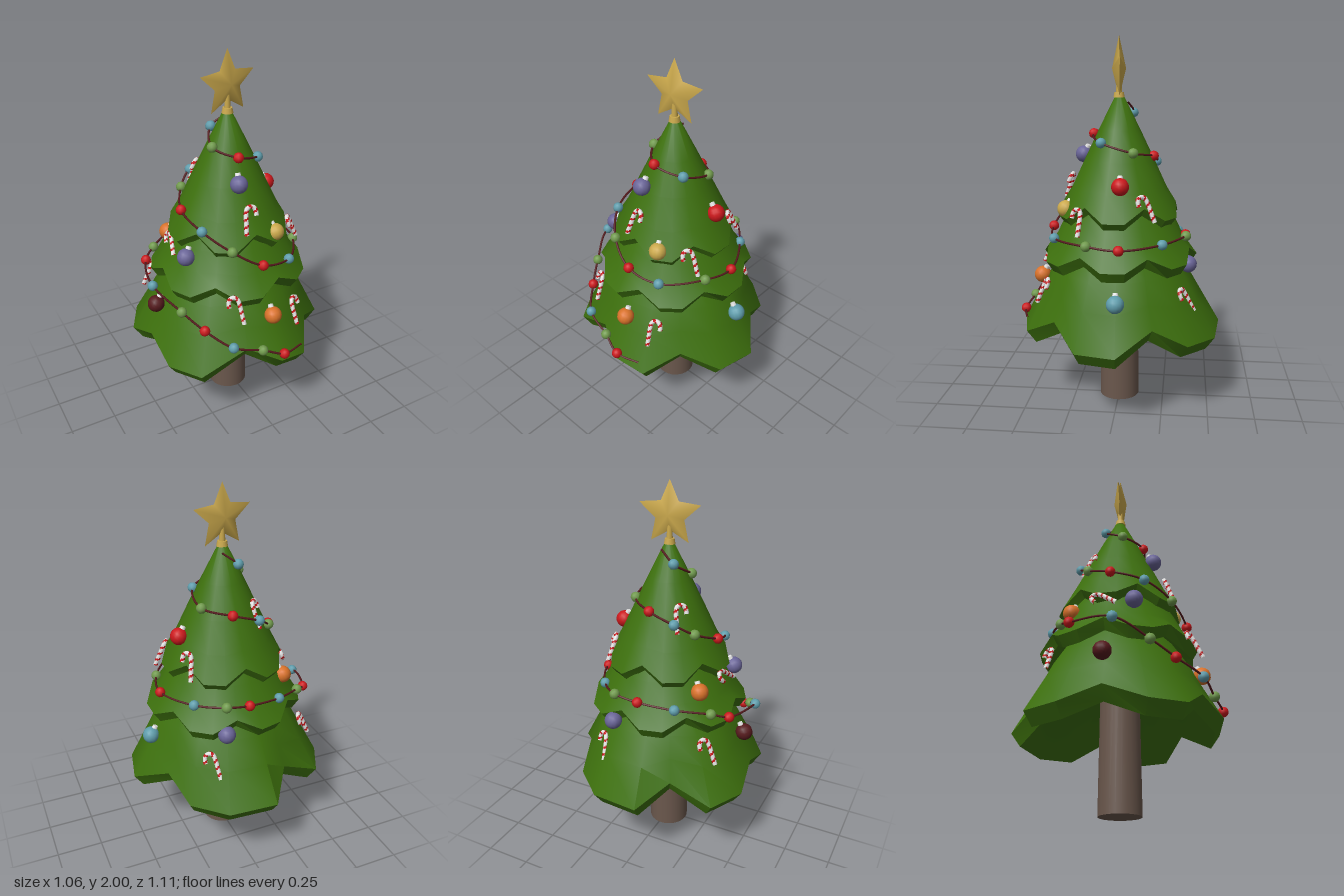
import * as THREE from 'three';
import { toCreasedNormals } from 'three/addons/utils/BufferGeometryUtils.js';

const mat = (name, color) => Object.assign(new THREE.MeshStandardMaterial({ color }), { name });
const M = {
  green: mat('needle green', 0x3d700d), brown: mat('bark brown', 0x6a574c),
  gold: mat('gold', 0xcba94c), red: mat('red', 0xcc181c), blue: mat('light blue', 0x5f9dac),
  lime: mat('soft green', 0x709a4c), purple: mat('purple', 0x6a6598),
  orange: mat('orange', 0xd9722a), maroon: mat('maroon', 0x561a1d), white: mat('white', 0xe8e8e8),
};
const CX = -0.012; // trunk axis

function add(parent, name, geometry, material, x = 0, y = 0, z = 0) {
  const m = new THREE.Mesh(geometry, material);
  m.name = name;
  m.position.set(x, y, z);
  parent.add(m);
  return m;
}

// Regular scalloped hem: each lobe has one notch and two tips, as [degrees, radius, y]
function scallops(n, firstNotch, rTip, rNotch, yTip, yNotch) {
  const hem = [];
  for (let i = 0; i < n; i++) {
    const a = firstNotch + (i * 360) / n, s = 360 / n;
    hem.push([a, rNotch, yNotch], [a + s * 0.34, rTip, yTip], [a + s * 0.66, rTip, yTip]);
  }
  return hem;
}

// One tier: rows [radius, y, lobe share] down to the hem, a thick rim, then the hollow underside
function tierGeometry(rows, hem, rim, drop) {
  const mean = hem.reduce((s, h) => s + h[1], 0) / hem.length;
  const meanY = hem.reduce((s, h) => s + h[2], 0) / hem.length;
  const pos = [], index = [], n = hem.length;
  const ring = (fn) => hem.forEach((h) => {
    const [r, y] = fn(h), a = THREE.MathUtils.degToRad(h[0]);
    pos.push(CX + r * Math.cos(a), y, r * Math.sin(a));
  });
  rows.forEach(([r, y, k]) => ring((h) => [r * (1 + k * (h[1] / mean - 1)), y + k * 0.5 * (h[2] - meanY)]));
  ring((h) => [h[1], h[2]]);
  ring((h) => [h[1] - rim, h[2] - drop]);
  ring((h) => [h[1] * 0.62, h[2] + drop * 1.1]);
  ring(() => [0.09, meanY + drop * 3]);
  const count = pos.length / 3 / n;
  for (let i = 0; i < count - 1; i++) for (let j = 0; j < n; j++) {
    const a = i * n + j, b = i * n + (j + 1) % n;
    index.push(a, b, a + n, b, b + n, a + n);
  }
  const g = new THREE.BufferGeometry();
  g.setAttribute('position', new THREE.Float32BufferAttribute(pos, 3));
  g.setIndex(index);
  return toCreasedNormals(g, 0.7);
}

// Five-pointed star: two softly domed faces meeting in a sharp edge
function starGeometry(outer, inner, depth) {
  const pos = [], index = [];
  [1, -1].forEach((side) => {
    const c = pos.length / 3;
    pos.push(0, 0, side * depth);
    for (let i = 0; i < 10; i++) {
      const a = Math.PI / 2 + (side * i * Math.PI) / 5, r = i % 2 ? inner : outer;
      pos.push(r * Math.cos(a), r * Math.sin(a), 0);
      index.push(c, c + 1 + i, c + 1 + (i + 1) % 10);
    }
  });
  const g = new THREE.BufferGeometry();
  g.setAttribute('position', new THREE.Float32BufferAttribute(pos, 3));
  g.setIndex(index);
  g.computeVertexNormals();
  return g;
}

// Hooked cane with spiral stripes in two material groups
function caneGeometry() {
  const pts = [[0, -0.08], [0, -0.03], [0, 0.025]];
  for (let i = 1; i <= 5; i++) {
    const a = Math.PI - (i * Math.PI) / 5;
    pts.push([0.027 + 0.027 * Math.cos(a), 0.035 + 0.032 * Math.sin(a)]);
  }
  pts.push([0.055, 0.02]);
  const curve = new THREE.CatmullRomCurve3(pts.map(([x, y]) => new THREE.Vector3(x - 0.015, y, 0)));
  const segs = 36, sides = 6;
  const g = new THREE.TubeGeometry(curve, segs, 0.0125, sides);
  const src = g.index.array, sorted = [[], []];
  for (let j = 0; j < segs; j++) for (let i = 0; i < sides; i++) {
    const q = (j * sides + i) * 6;
    sorted[(i + j) % 6 < 2 ? 1 : 0].push(...src.slice(q, q + 6));
  }
  g.setIndex([...sorted[0], ...sorted[1]]);
  g.addGroup(0, sorted[0].length, 0);
  g.addGroup(sorted[0].length, sorted[1].length, 1);
  return g;
}

export function createModel() {
  const tree = new THREE.Group();
  tree.name = 'decoratedTree';

  add(tree, 'trunk', new THREE.CylinderGeometry(0.1, 0.11, 0.9, 24), M.brown, CX, 0.45, 0);

  // Foliage tiers
  add(tree, 'topTier', tierGeometry(
    [[0.005, 1.695, 0], [0.025, 1.685, 0], [0.113, 1.51, 0], [0.19, 1.35, 0], [0.262, 1.2, 0.4]],
    scallops(6, 30, 0.335, 0.305, 1.06, 1.13), 0.03, 0.04), M.green);
  add(tree, 'middleTier', tierGeometry(
    [[0.2, 1.2, 0], [0.3, 1.04, 0], [0.348, 0.94, 0.3]],
    scallops(7, 25, 0.428, 0.393, 0.83, 0.89), 0.035, 0.055), M.green);
  const lowHem = [
    [-3, 0.545, 0.43], [20, 0.53, 0.43], [44, 0.45, 0.53], [67, 0.53, 0.43], [86, 0.53, 0.47],
    [106, 0.46, 0.55], [133, 0.55, 0.43], [154, 0.54, 0.43], [177, 0.49, 0.51], [199, 0.55, 0.43],
    [221, 0.56, 0.43], [243, 0.44, 0.53], [262, 0.565, 0.43], [289, 0.56, 0.42], [312, 0.52, 0.43],
    [333, 0.45, 0.53]];
  add(tree, 'bottomTier', tierGeometry(
    [[0.26, 0.92, 0], [0.368, 0.76, 0.2], [0.43, 0.63, 0.6]], lowHem, 0.05, 0.07), M.green);

  // Star topper
  const topper = new THREE.Group();
  topper.name = 'starTopper';
  topper.position.set(CX, 0, 0.003);
  topper.rotation.y = 0.13;
  add(topper, 'star', starGeometry(0.17, 0.08, 0.037), M.gold, 0, 1.83, 0);
  add(topper, 'starStem', new THREE.CylinderGeometry(0.013, 0.017, 0.09, 12), M.gold, 0, 1.735, 0);
  add(topper, 'starCollar', new THREE.CylinderGeometry(0.025, 0.03, 0.028, 12), M.gold, 0, 1.695, 0);
  tree.add(topper);

  // Hanging baubles, caps leaning in towards the trunk
  const baubleGeo = new THREE.SphereGeometry(0.046, 14, 10);
  const capGeo = new THREE.CylinderGeometry(0.014, 0.016, 0.016, 8);
  [['purple', -0.056, 1.375, 0.2], ['red', 0.245, 1.24, -0.028], ['gold', 0.12, 1.1, 0.275],
    ['purple', -0.335, 1.01, 0.145], ['orange', 0.022, 0.705, 0.43], ['blue', 0.42, 0.675, -0.02],
    ['maroon', -0.46, 0.69, 0.015], ['orange', -0.283, 0.99, -0.195], ['purple', 0.125, 0.815, -0.38],
  ].forEach(([c, x, y, z]) => {
    const b = new THREE.Group();
    b.name = 'bauble';
    b.position.set(x, y, z);
    b.rotation.set(-0.5, Math.atan2(x, z), 0, 'YXZ');
    add(b, 'baubleBall', baubleGeo, M[c]);
    add(b, 'baubleCap', capGeo, M.white, 0, 0.05, 0);
    tree.add(b);
  });

  // Garland: light positions from top to bottom, colours repeating
  const lights = [
    [-0.07, 1.6, -0.07], [-0.12, 1.53, 0.04], [-0.025, 1.49, 0.14], [0.12, 1.45, 0.085],
    [0.14, 1.4, -0.085], [0.01, 1.375, -0.185], [-0.135, 1.33, -0.195], [-0.22, 1.27, -0.13],
    [-0.29, 1.21, 0.01], [-0.26, 1.155, 0.185], [-0.155, 1.07, 0.31], [-0.005, 0.98, 0.365],
    [0.175, 0.95, 0.33], [0.325, 0.945, 0.14], [0.36, 0.935, -0.03], [0.25, 0.945, -0.245],
    [0.12, 0.965, -0.365], [-0.01, 0.945, -0.362], [-0.2, 0.925, -0.32], [-0.36, 0.895, -0.225],
    [-0.435, 0.865, -0.16], [-0.495, 0.845, 0.07], [-0.41, 0.75, 0.235], [-0.335, 0.675, 0.345],
    [-0.23, 0.605, 0.46], [-0.075, 0.555, 0.495], [0.04, 0.51, 0.525]];
  const lightGeo = new THREE.IcosahedronGeometry(0.028, 1);
  const cycle = ['blue', 'lime', 'red'];
  lights.forEach((p, i) => add(tree, 'garlandLight', lightGeo, M[cycle[i % 3]], ...p));
  const path = [[0.01, 1.66, -0.045], ...lights, [0.17, 0.5, 0.49]]
    .map((p) => new THREE.Vector3(...p));
  add(tree, 'garlandWire', new THREE.TubeGeometry(new THREE.CatmullRomCurve3(path), 220, 0.0058, 6), M.maroon);

  // Striped canes: x, y, z, roll, hook to the left
  const caneGeo = caneGeometry();
  [[-0.042, 1.21, 0.278, -0.1, 0], [0.275, 1.06, 0.19, 0.15, 1], [-0.185, 0.8, 0.42, 0.2, 1],
    [0.185, 0.665, 0.395, -0.05, 0], [0.245, 1.13, -0.165, 0.2, 1], [0.195, 0.64, -0.375, 0.3, 1],
    [-0.14, 1.35, -0.145, -0.05, 0], [-0.375, 0.71, -0.28, 0.15, 1], [-0.35, 1.02, -0.01, 0.9, 1],
  ].forEach(([x, y, z, roll, left]) => {
    const hang = new THREE.Group();
    hang.name = 'candyCane';
    hang.position.set(x, y, z);
    hang.rotation.set(-0.38, Math.atan2(x, z), roll, 'YXZ');
    add(hang, 'cane', caneGeo, [M.white, M.red]).rotation.y = left ? Math.PI : 0;
    tree.add(hang);
  });

  return tree;
}
